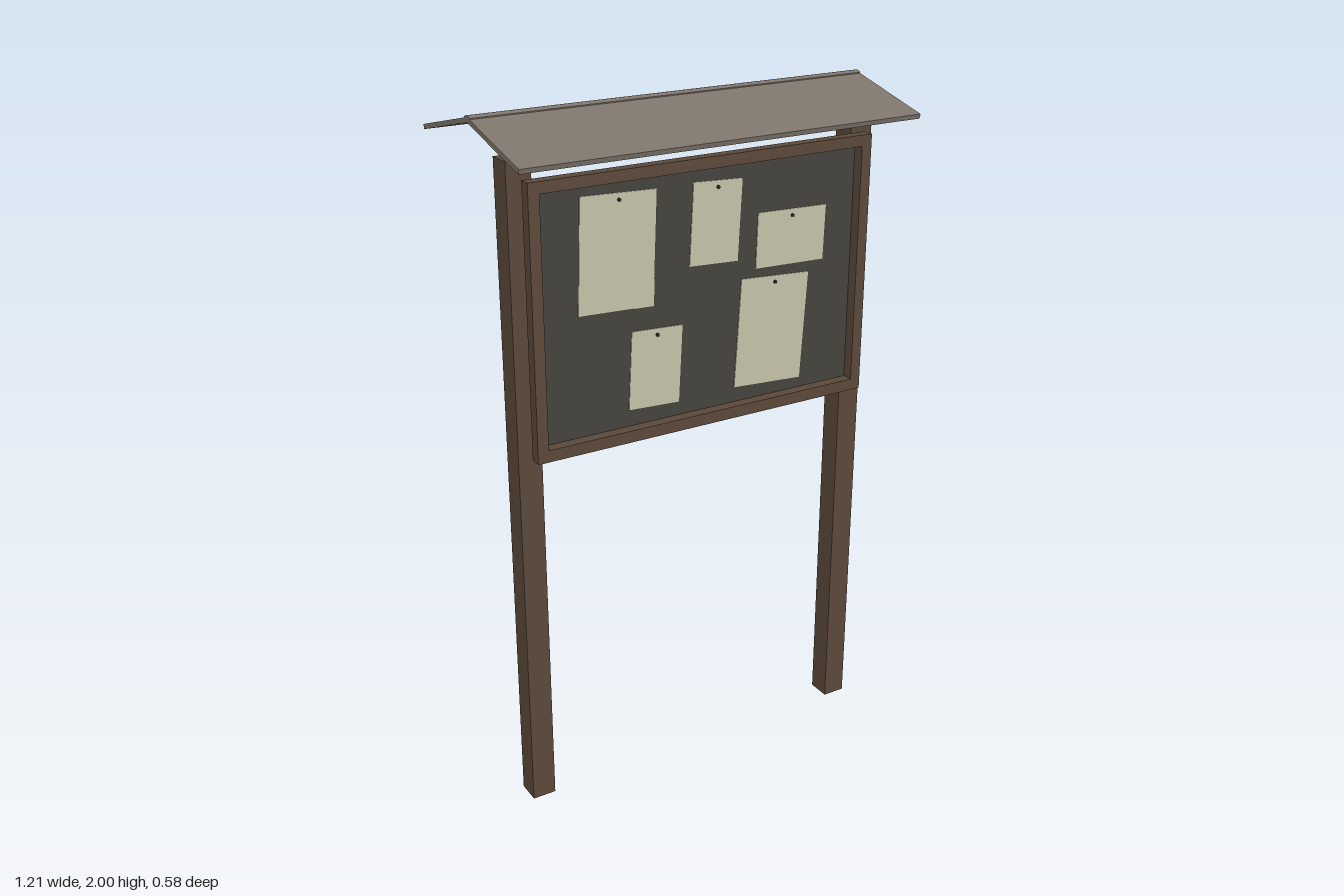
import * as THREE from 'three';

const mat = (color) => new THREE.MeshStandardMaterial({ color });
const wood = mat(0x5c4a3b), felt = mat(0x46433e), roofing = mat(0x7d746b);
const paper = mat(0xc6c2aa), dark = mat(0x2e2622);

export function createModel() {
  const model = new THREE.Group();

  const add = (name, geometry, material, x = 0, y = 0, z = 0, parent = model) => {
    const mesh = new THREE.Mesh(geometry, material);
    mesh.name = name;
    mesh.position.set(x, y, z);
    parent.add(mesh);
    return mesh;
  };
  const box = (w, h, d) => new THREE.BoxGeometry(w, h, d);

  // Two square posts
  for (const [name, s] of [['leftPost', 1], ['rightPost', -1]]) {
    add(name, box(0.07, 1.905, 0.07), wood, s * 0.53, 0.9525, 0.093);
  }

  // Backing board, set behind the frame
  add('board', box(1.03, 0.715, 0.016), felt, 0, 1.476, 0.136);

  // Frame around the board
  const rect = (P, x, y0, y1) => {
    const p = new P();
    p.moveTo(-x, y0).lineTo(x, y0).lineTo(x, y1).lineTo(-x, y1).closePath();
    return p;
  };
  const frame = rect(THREE.Shape, 0.53, 1.098, 1.858);
  frame.holes.push(rect(THREE.Path, 0.498, 1.132, 1.826));
  add('frame', new THREE.ExtrudeGeometry(frame, { depth: 0.034, bevelEnabled: false }), wood, 0, 0, 0.143);

  // Pinned notices: x, y, width, height, tilt
  const notices = [
    [-0.264, 1.631, 0.228, 0.32, -0.038],
    [0.039, 1.669, 0.155, 0.23, -0.05],
    [0.287, 1.593, 0.228, 0.158, -0.03],
    [-0.151, 1.289, 0.159, 0.225, -0.05],
    [0.228, 1.329, 0.226, 0.318, -0.06],
  ];
  for (const [x, y, w, h, tilt] of notices) {
    const notice = new THREE.Group();
    notice.name = 'notice';
    notice.position.set(x, y, 0.146);
    notice.rotation.z = tilt;
    add('sheet', box(w, h, 0.002), paper, 0, 0, 0, notice);
    const pin = new THREE.CylinderGeometry(0.005, 0.005, 0.006, 8).rotateX(Math.PI / 2);
    add('pin', pin, dark, 0, h / 2 - 0.018, 0.003, notice);
    model.add(notice);
  }

  // Shallow gabled roof with a raised ridge strip, extruded along x
  const half = [[0, 2.0], [0.008, 1.9985], [0.016, 1.995], [0.016, 1.992], [0.29, 1.925], [0.287, 1.912], [0, 1.982]];
  const mirrored = half.slice(1, -1).reverse().map(([z, y]) => [-z, y]);
  const outline = new THREE.Shape([...half, ...mirrored].map(([z, y]) => new THREE.Vector2(z, y)));
  const roof = new THREE.ExtrudeGeometry(outline, { depth: 1.208, bevelEnabled: false });
  roof.translate(0, 0, -0.604).rotateY(Math.PI / 2);
  add('roof', roof, roofing);

  return model;
}
